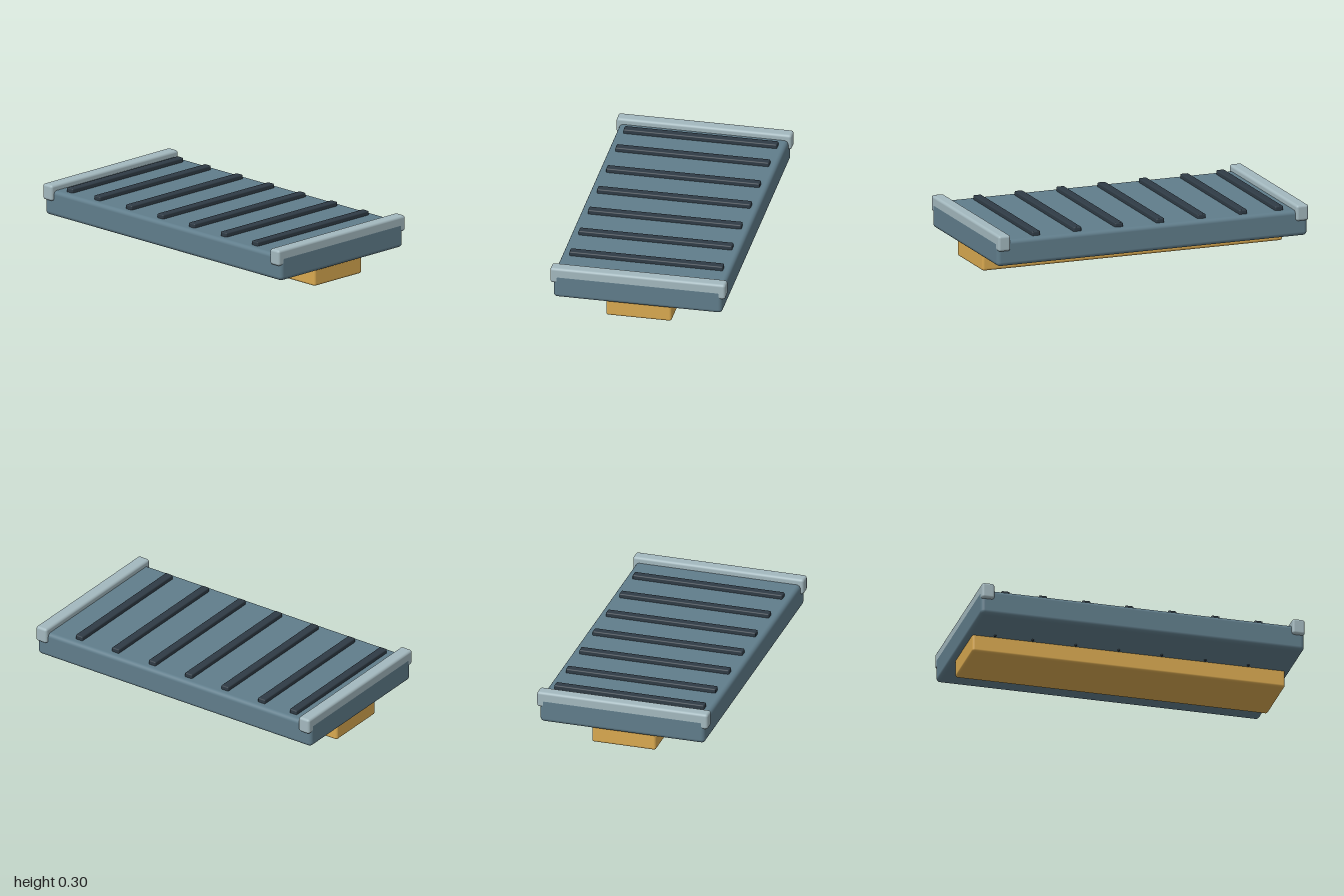
import * as THREE from 'three';
import { RoundedBoxGeometry } from 'three/addons/geometries/RoundedBoxGeometry.js';

const paint = (color) => new THREE.MeshStandardMaterial({ color });
const blue = paint(0x607d8b);
const pale = paint(0xa3b8be);
const dark = paint(0x2f3b45);
const ochre = paint(0xd9a950);

// Rounded block given by its [min, max] extents on each axis
function block(name, [x0, x1], [y0, y1], [z0, z1], radius, material) {
  const mesh = new THREE.Mesh(
    new RoundedBoxGeometry(x1 - x0, y1 - y0, z1 - z0, 3, radius), material);
  mesh.name = name;
  mesh.position.set((x0 + x1) / 2, (y0 + y1) / 2, (z0 + z1) / 2);
  return mesh;
}

export function createModel() {
  const model = new THREE.Group();
  model.name = 'slattedPlatform';

  // Main slab and the beam under it
  model.add(block('deck', [-1, 1], [0.104, 0.262], [-0.515, 0.515], 0.025, blue));
  model.add(block('supportBeam', [-0.967, 0.967], [0, 0.125], [-0.2, 0.2], 0.015, ochre));

  // End rails, mirrored left and right
  for (const side of [-1, 1]) {
    const rail = block(side > 0 ? 'leftRail' : 'rightRail',
      [-0.0395, 0.0395], [0.2, 0.298], [-0.534, 0.534], 0.016, pale);
    rail.position.x = side * 0.96;
    model.add(rail);
  }

  // Cross strips on top, each with a small peg under the deck
  const pegGeometry = new THREE.CylinderGeometry(0.008, 0.008, 0.02, 8);
  for (const x of [-0.836, -0.604, -0.336, -0.07, 0.196, 0.464, 0.73]) {
    model.add(block('gripStrip', [x - 0.026, x + 0.026], [0.25, 0.288], [-0.468, 0.468], 0.008, dark));
    const peg = new THREE.Mesh(pegGeometry, dark);
    peg.name = 'peg';
    peg.position.set(x, 0.107, 0.229);
    model.add(peg);
  }
  return model;
}
